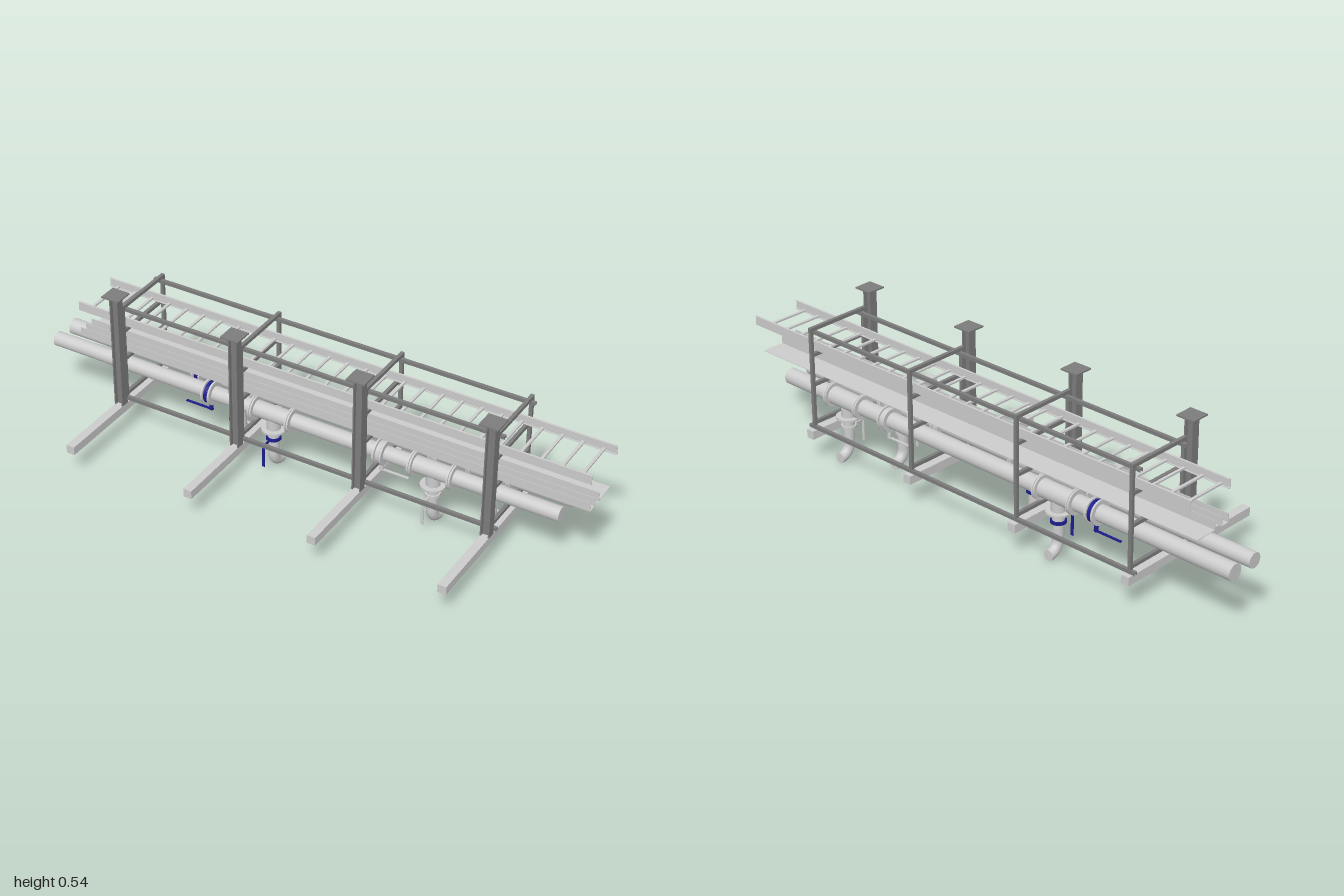
import * as THREE from 'three';

const grey = new THREE.MeshStandardMaterial({ color: 0xcccccc });
const sheet = new THREE.MeshStandardMaterial({ color: 0xcccccc, side: THREE.DoubleSide });
const steel = new THREE.MeshStandardMaterial({ color: 0x7c7c7c });
const blue = new THREE.MeshStandardMaterial({ color: 0x1c1c8c });

function add(parent, name, geometry, material, x = 0, y = 0, z = 0) {
  const mesh = new THREE.Mesh(geometry, material);
  mesh.name = name;
  mesh.position.set(x, y, z);
  parent.add(mesh);
  return mesh;
}

function group(parent, name, x = 0, y = 0, z = 0) {
  const g = new THREE.Group();
  g.name = name;
  g.position.set(x, y, z);
  parent.add(g);
  return g;
}

// Box given by its limits on each axis
function box(parent, name, material, [x0, x1], [y0, y1], [z0, z1]) {
  return add(parent, name, new THREE.BoxGeometry(x1 - x0, y1 - y0, z1 - z0), material,
    (x0 + x1) / 2, (y0 + y1) / 2, (z0 + z1) / 2);
}

// Cylinder along a chosen axis
function rod(parent, name, material, r, length, axis, x = 0, y = 0, z = 0, r2 = r) {
  const mesh = add(parent, name, new THREE.CylinderGeometry(r, r2, length, 32), material, x, y, z);
  if (axis === 'x') mesh.rotation.z = Math.PI / 2;
  if (axis === 'z') mesh.rotation.x = Math.PI / 2;
  return mesh;
}

// H-section column standing on y = 0
function columnGeometry(height) {
  const w = 0.016, d = 0.015, t = 0.004, web = 0.002;
  const pts = [[-w, -d], [-w + t, -d], [-w + t, -web], [w - t, -web], [w - t, -d], [w, -d],
    [w, d], [w - t, d], [w - t, web], [-w + t, web], [-w + t, d], [-w, d]];
  const shape = new THREE.Shape(pts.map(p => new THREE.Vector2(...p)));
  return new THREE.ExtrudeGeometry(shape, { depth: height, bevelEnabled: false }).rotateX(-Math.PI / 2);
}

// Column, ground beam and tiered strut frame
function support(parent, x) {
  const g = group(parent, 'support', x);
  box(g, 'groundBeam', grey, [-0.015, 0.015], [0.09, 0.12], [-0.29, 0.29]);
  add(g, 'column', columnGeometry(0.42), steel, 0, 0.12, 0);
  box(g, 'columnPlate', steel, [-0.033, 0.033], [0.54, 0.545], [-0.033, 0.033]);
  for (const [z0, z1] of [[-0.039, -0.028], [-0.272, -0.261]]) {
    box(g, 'framePost', steel, [-0.006, 0.006], [0.12, 0.485], [z0, z1]);
  }
  for (const y of [0.479, 0.3875, 0.2805, 0.1425]) {
    box(g, 'frameCrossbar', steel, [-0.006, 0.006], [y - 0.006, y + 0.006], [-0.264, -0.036]);
  }
}

// Slim open channel running along the frames
function strut(parent, y, z) {
  const g = group(parent, 'longitudinalStrut', 0, y, z);
  const span = [-0.7, 0.712];
  box(g, 'strutWeb', steel, span, [0.004, 0.006], [-0.006, 0.006]);
  for (const s of [-1, 1]) {
    box(g, 'strutSide', steel, span, [-0.006, 0.005], [s * 0.005 - 0.001, s * 0.005 + 0.001]);
  }
}

// Ladder with channel side rails and evenly spaced rungs
function cableLadder(parent) {
  const g = group(parent, 'cableLadder');
  const span = [-0.873, 0.997];
  for (const [web, lip0, lip1] of [[-0.057, -0.063, -0.056], [-0.239, -0.24, -0.233]]) {
    box(g, 'ladderRail', grey, span, [0.393, 0.425], [web - 0.001, web + 0.001]);
    for (const y of [0.394, 0.424]) {
      box(g, 'railFlange', grey, span, [y - 0.001, y + 0.001], [lip0, lip1]);
    }
  }
  for (let i = 0; i < 27; i++) {
    const x = -0.84 + i * 0.069;
    box(g, 'rung', grey, [x - 0.005, x + 0.005], [0.396, 0.402], [-0.238, -0.058]);
  }
}

// Sheet trays with upright walls
function cableTrays(parent) {
  const g = group(parent, 'cableTrays');
  const span = [-0.88, 0.997];
  for (const [z0, z1] of [[-0.098, -0.068], [-0.212, -0.13]]) {
    box(g, 'trayFloor', sheet, span, [0.286, 0.288], [z0, z1]);
  }
  for (const z of [-0.068, -0.098, -0.13]) {
    box(g, 'trayWall', sheet, span, [0.286, 0.317], [z - 0.0008, z + 0.0008]);
  }
}

// Wafer valve between flanges, with a lever below the pipe
function inlineValve(parent, x, material, leverSide) {
  const g = group(parent, 'inlineValve', x);
  rod(g, 'valveBody', material, 0.038, 0.014, 'x');
  for (const s of [-1, 1]) rod(g, 'valveFlange', grey, 0.042, 0.007, 'x', s * 0.013);
  rod(g, 'valveStem', material, 0.007, 0.04, 'y', 0, -0.05);
  box(g, 'valveLever', material, [leverSide * 0.045 - 0.053, leverSide * 0.045 + 0.053],
    [-0.07, -0.066], [-0.004, 0.004]);
}

// Tee with a flanged branch, drop valve and elbow turned to the back
function branch(parent, x, r, material) {
  const g = group(parent, 'branch', x);
  rod(g, 'teeBody', grey, r + 0.003, 0.13, 'x');
  for (const s of [-1, 1]) {
    for (const dx of [0.066, 0.074]) rod(g, 'teeFlange', grey, 0.042, 0.006, 'x', s * dx);
  }
  rod(g, 'teeNeck', grey, 0.024, 0.06, 'y', 0, -0.03);
  rod(g, 'branchFlange', grey, 0.042, 0.007, 'y', 0, -0.058);
  rod(g, 'reducer', grey, 0.032, 0.012, 'y', 0, -0.067, 0, 0.02);
  rod(g, 'valveNeck', grey, 0.02, 0.02, 'y', 0, -0.08);
  rod(g, 'dropValveBody', material, 0.026, 0.01, 'y', 0, -0.092);
  rod(g, 'dropValveStem', material, 0.004, 0.068, 'z', 0, -0.092, 0.032);
  box(g, 'dropValveLever', material, [-0.005, 0.005], [-0.172, -0.088], [0.063, 0.066]);

  const path = new THREE.CurvePath();
  path.add(new THREE.LineCurve3(new THREE.Vector3(0, -0.09, 0), new THREE.Vector3(0, -0.153, 0)));
  path.add(new THREE.CubicBezierCurve3(
    new THREE.Vector3(0, -0.153, 0), new THREE.Vector3(0, -0.178, 0),
    new THREE.Vector3(0, -0.198, -0.02), new THREE.Vector3(0, -0.198, -0.045)));
  add(g, 'elbow', new THREE.TubeGeometry(path, 32, 0.0185, 20), sheet);
  const cap = add(g, 'elbowEnd', new THREE.CircleGeometry(0.0185, 20), sheet, 0, -0.198, -0.045);
  cap.rotation.y = Math.PI;
}

// Main pipe with its valves and branches
function pipeRun(parent, name, z, r, valves, branches) {
  const g = group(parent, name, 0, 0.218, z);
  rod(g, 'mainPipe', grey, r, 1.895, 'x', -0.0525);
  for (const [x, material, side] of valves) inlineValve(g, x, material, side);
  for (const [x, material] of branches) branch(g, x, r, material);
}

export function createModel() {
  const model = new THREE.Group();
  model.name = 'pipeRack';

  for (let i = 0; i < 4; i++) support(model, -0.678 + i * 0.4565);
  for (const z of [-0.047, -0.253]) strut(model, 0.467, z);
  for (const z of [-0.032, -0.267]) strut(model, 0.127, z);

  cableLadder(model);
  cableTrays(model);

  pipeRun(model, 'frontPipe', -0.093, 0.0255,
    [[-0.378, blue, -1], [0.268, grey, 1]], [[-0.136, blue], [0.453, grey]]);
  pipeRun(model, 'backPipe', -0.185, 0.028,
    [[-0.475, blue, -1], [0.42, grey, -1]], [[-0.321, blue], [0.616, grey]]);
  return model;
}
